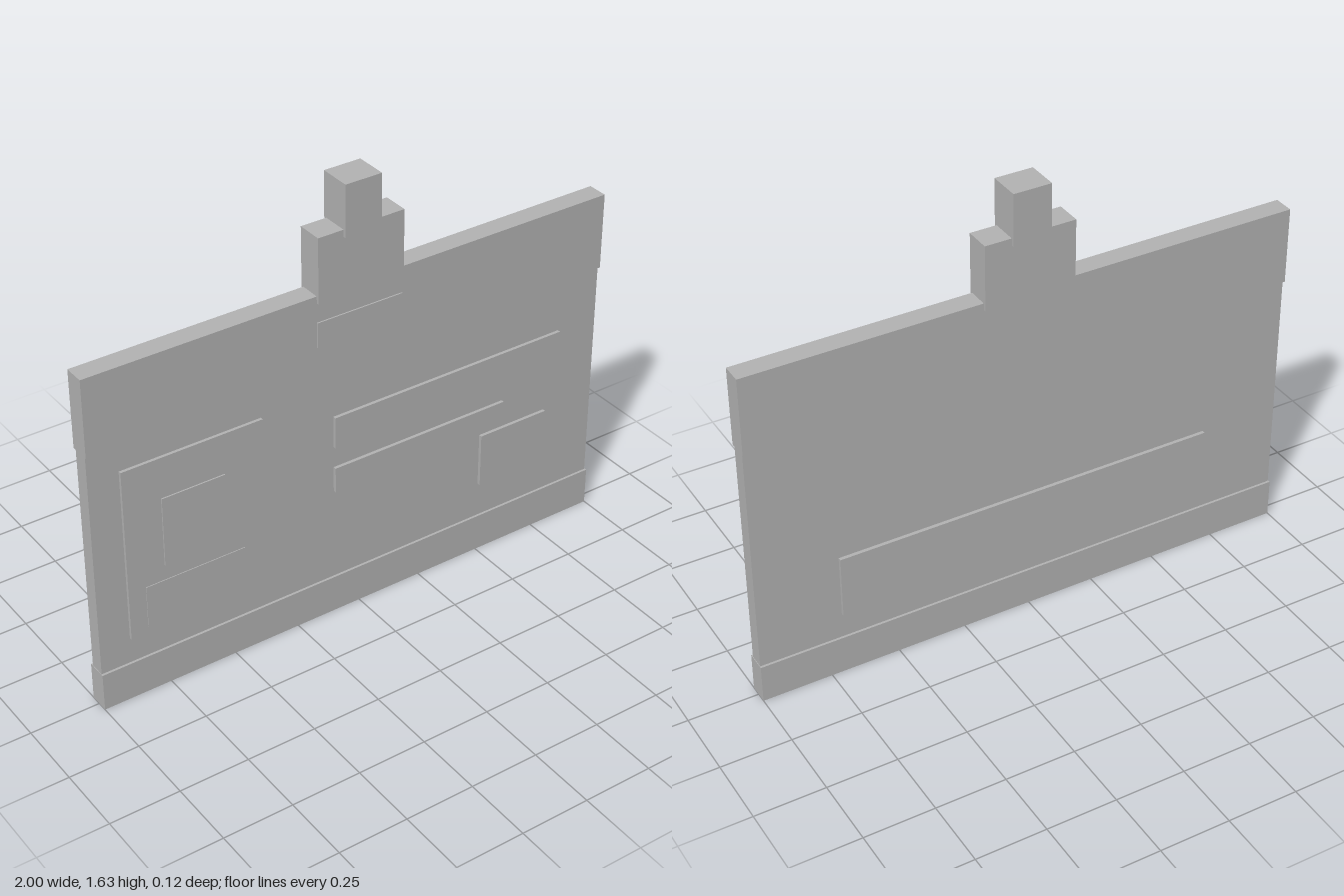
import * as THREE from 'three';

export function createModel() {
  const group = new THREE.Group();
  const grey = new THREE.MeshStandardMaterial({ color: 0xb2b2b2 });
  grey.name = 'plain grey';

  // Box given by its limits on each axis
  function block(name, x0, x1, y0, y1, z0, z1) {
    const mesh = new THREE.Mesh(new THREE.BoxGeometry(x1 - x0, y1 - y0, z1 - z0), grey);
    mesh.position.set((x0 + x1) / 2, (y0 + y1) / 2, (z0 + z1) / 2);
    mesh.name = name;
    group.add(mesh);
  }

  // Card with thicker bands along top and bottom
  block('card', -0.998, 0.998, 0.005, 1.255, -0.028, 0.028);
  block('headerBand', -1, 1, 0.98, 1.26, -0.037, 0.037);
  block('footerBand', -1, 1, 0, 0.14, -0.037, 0.037);

  // Clip above the card and the slot plate below it
  block('clipBase', -0.163, 0.163, 1.235, 1.47, -0.047, 0.047);
  block('clipTop', -0.068, 0.068, 1.445, 1.63, -0.058, 0.058);
  block('slotPlate', -0.163, 0.163, 1.073, 1.165, 0.035, 0.042);

  // Portrait panel with head and shoulders
  block('photoPanel', -0.888, -0.373, 0.237, 0.885, 0.026, 0.039);
  block('portraitHead', -0.753, -0.52, 0.478, 0.735, 0.036, 0.044);
  block('portraitShoulders', -0.825, -0.455, 0.265, 0.42, 0.036, 0.042);

  // Blank text bars and chip
  block('upperBar', -0.097, 0.835, 0.665, 0.783, 0.026, 0.04);
  block('lowerBar', -0.097, 0.6, 0.49, 0.585, 0.026, 0.04);
  block('chip', 0.508, 0.787, 0.274, 0.477, 0.026, 0.04);

  // Raised strip on the back
  block('backStrip', -0.7, 0.7, 0.235, 0.465, -0.041, -0.026);

  return group;
}
